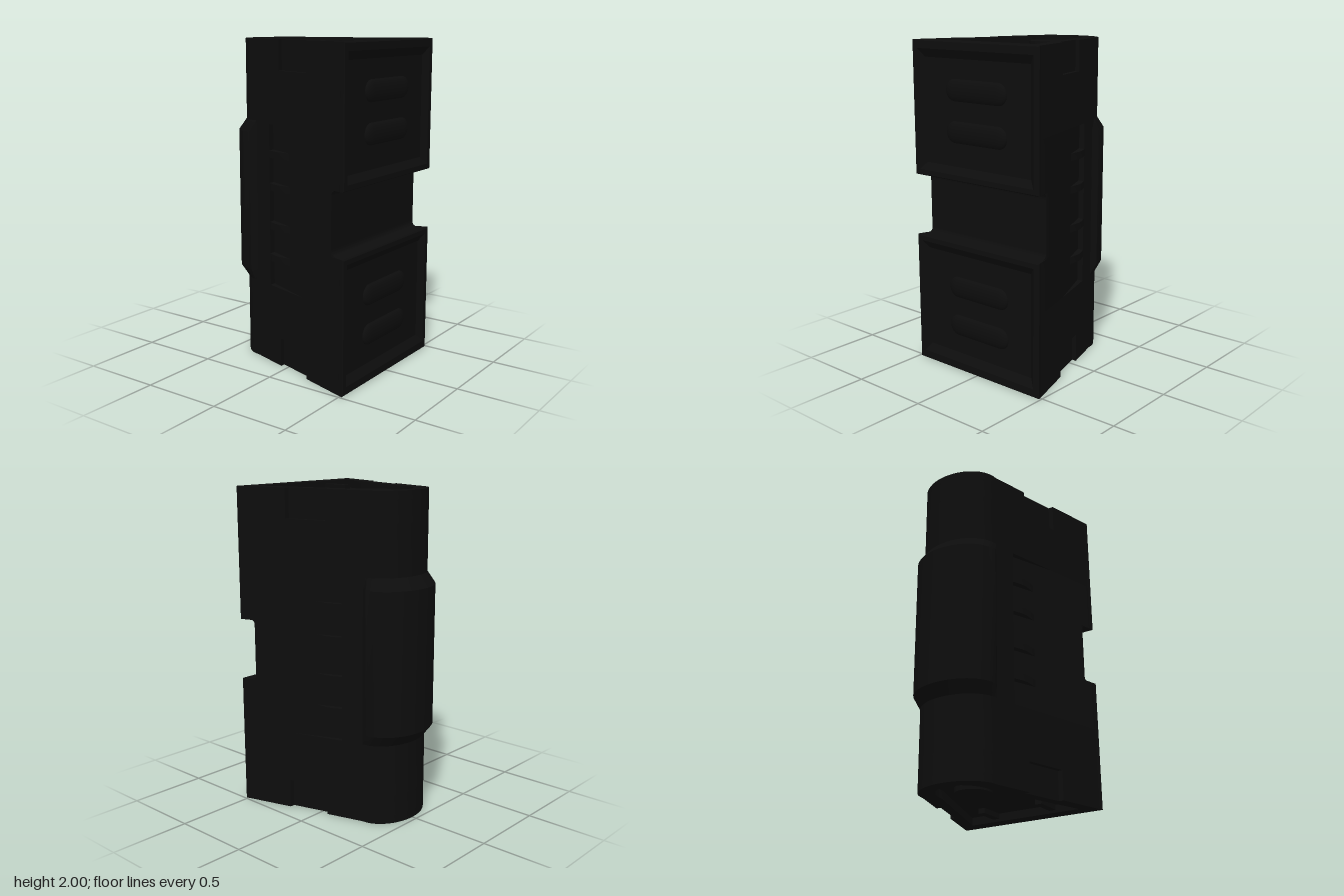
import * as THREE from 'three';
import { toCreasedNormals } from 'three/addons/utils/BufferGeometryUtils.js';

const black = new THREE.MeshStandardMaterial({ color: 0x0d0d0d, side: THREE.DoubleSide });
black.name = 'matte black';

// Plan outline: tapered sides, rounded back
const sideX = (z, inset = 0) => 0.335 + 0.3 * z - inset;
const backArc = (cz, rx, rz, n = 20) => Array.from({ length: n + 1 }, (_, i) => {
  const a = (Math.PI * i) / n;
  return [rx * Math.cos(a), cz - rz * Math.sin(a)];
});
const mirrored = (half, arc) => [...half, ...arc, ...half.map(([x, z]) => [-x, z]).reverse()];
const toVectors = (pts) => pts.map(([x, z]) => new THREE.Vector2(x, -z));

// Side cuts as [z, inset] steps running from front to back
const NOTCH = [[0.2, 0], [0.2, 0.03], [-0.05, 0.03], [-0.05, 0]];
const WEDGE = [[0.17, 0], [-0.15, 0.04], [-0.15, 0]];
const plan = (front, cuts = []) => mirrored(
  [[front, 0], ...cuts].map(([z, inset]) => [sideX(z, inset), z]),
  backArc(-0.28, 0.251, 0.19)
);

// Extrudes a plan outline between two heights
function slab(outline, y0, y1, hole) {
  const shape = new THREE.Shape(toVectors(outline));
  if (hole) shape.holes.push(new THREE.Path(toVectors(hole)));
  const geo = new THREE.ExtrudeGeometry(shape, { depth: y1 - y0, bevelEnabled: false });
  geo.rotateX(-Math.PI / 2).translate(0, y0, 0);
  return toCreasedNormals(geo, 0.5);
}

// Skin through rows of points
function loft(rows, closed, crease) {
  const n = rows[0].length;
  const index = [];
  for (let r = 0; r < rows.length - 1; r++) {
    for (let i = 0; i < (closed ? n : n - 1); i++) {
      const j = (i + 1) % n;
      const a = r * n + i, b = r * n + j, c = a + n, d = b + n;
      index.push(a, b, d, a, d, c);
    }
  }
  const geo = new THREE.BufferGeometry();
  geo.setAttribute('position', new THREE.Float32BufferAttribute(rows.flat(2), 3));
  geo.setIndex(index);
  return toCreasedNormals(geo, crease);
}

export function createModel() {
  const model = new THREE.Group();
  model.name = 'wedgeCase';
  const add = (name, geo, x = 0, y = 0, z = 0) => {
    const mesh = new THREE.Mesh(geo, black);
    mesh.name = name;
    mesh.position.set(x, y, z);
    model.add(mesh);
    return mesh;
  };

  // Body, stacked from the waist outwards
  const inset = mirrored([[0.38, 0.42]], backArc(-0.2, 0.17, 0.2));
  add('waist', slab(plan(0.42, WEDGE), 0.81, 1.19));
  const layers = [
    ['ventBody', 0.5, 0.81, WEDGE],
    ['plainBody', 0.18, 0.5, []],
    ['notchedBody', 0.05, 0.18, NOTCH],
    ['endRim', 0, 0.05, NOTCH, inset],
  ];
  for (const [name, y0, y1, cuts, hole] of layers) {
    add(name, slab(plan(0.49, cuts), y0, y1, hole));
    add(name, slab(plan(0.49, cuts), 2 - y1, 2 - y0, hole));
  }

  // Back bulge with chamfered ends
  const base = backArc(-0.28, 0.251, 0.19, 24);
  const outer = backArc(-0.32, 0.272, 0.205, 22);
  const wide = [base[0], ...outer, base[24]];
  const profile = [base, ...[0, 1].map(() => wide), base];
  const heights = [0.5, 0.57, 1.44, 1.51];
  const bulge = profile.map((p, r) => p.map(([x, z]) => [x, heights[r], z]));
  // the profile runs right to left, so reverse it to face outwards
  add('backBulge', loft(bulge.map((row) => row.reverse()).reverse(), false, 0.45));

  // Front panels: chamfered frame with sloping inner edge, two raised grips
  const rect = (hx, y0, y1, z) => [[-hx, y0, z], [hx, y0, z], [hx, y1, z], [-hx, y1, z]];
  for (const flip of [1, -1]) {
    const h = (y) => 1 + flip * (y - 1);
    const ring = (hx, a, b, z) => rect(hx, Math.min(h(a), h(b)), Math.max(h(a), h(b)), z);
    add('panelFrame', loft([
      ring(0.481, 1.19, 2, 0.488), ring(0.489, 1.19, 2, 0.514),
      ring(0.483, 1.196, 1.994, 0.52), ring(0.45, 1.225, 1.95, 0.52),
      ring(0.41, 1.27, 1.9, 0.4905),
    ], true, 0.2));
    for (const y of [1.72, 1.475]) {
      const grip = new THREE.CapsuleGeometry(0.065, 0.34, 8, 20);
      grip.rotateZ(Math.PI / 2).scale(1, 1, 0.4);
      add('grip', grip, 0, h(y), 0.49);
    }

    // Fillet where the waist meets the panel block
    const f = new THREE.Shape();
    f.moveTo(-0.415, h(1.19));
    f.lineTo(-0.455, h(1.19));
    f.quadraticCurveTo(-0.42, h(1.19), -0.42, h(1.155));
    f.lineTo(-0.415, h(1.155));
    const fillet = new THREE.ExtrudeGeometry(f, { depth: 0.92, bevelEnabled: false, curveSegments: 8 });
    fillet.rotateY(Math.PI / 2).translate(-0.46, 0, 0);
    add('waistFillet', toCreasedNormals(fillet, 0.5));

    // Round boss and bars inside the end recess
    add('endBoss', new THREE.CylinderGeometry(0.11, 0.11, 0.035, 32), 0, h(1.965), -0.14);
    for (const x of [-0.2, 0.2]) {
      add('endBar', new THREE.BoxGeometry(0.045, 0.035, 0.17), x, h(1.965), 0.335);
    }
  }

  // Vent fins standing in the side recesses
  for (const s of [1, -1]) {
    for (const y of [0.68, 0.88, 1.12, 1.32]) {
      const fin = [[0.03, 0.03], [0.03, 0.0175], [-0.06, -0.008], [-0.1, -0.008], [-0.15, 0], [-0.15, 0.06]]
        .map(([z, off]) => [s * sideX(z, off), z]);
      add('ventFin', slab(s > 0 ? fin : fin.reverse(), y - 0.022, y + 0.022));
    }
  }
  return model;
}
